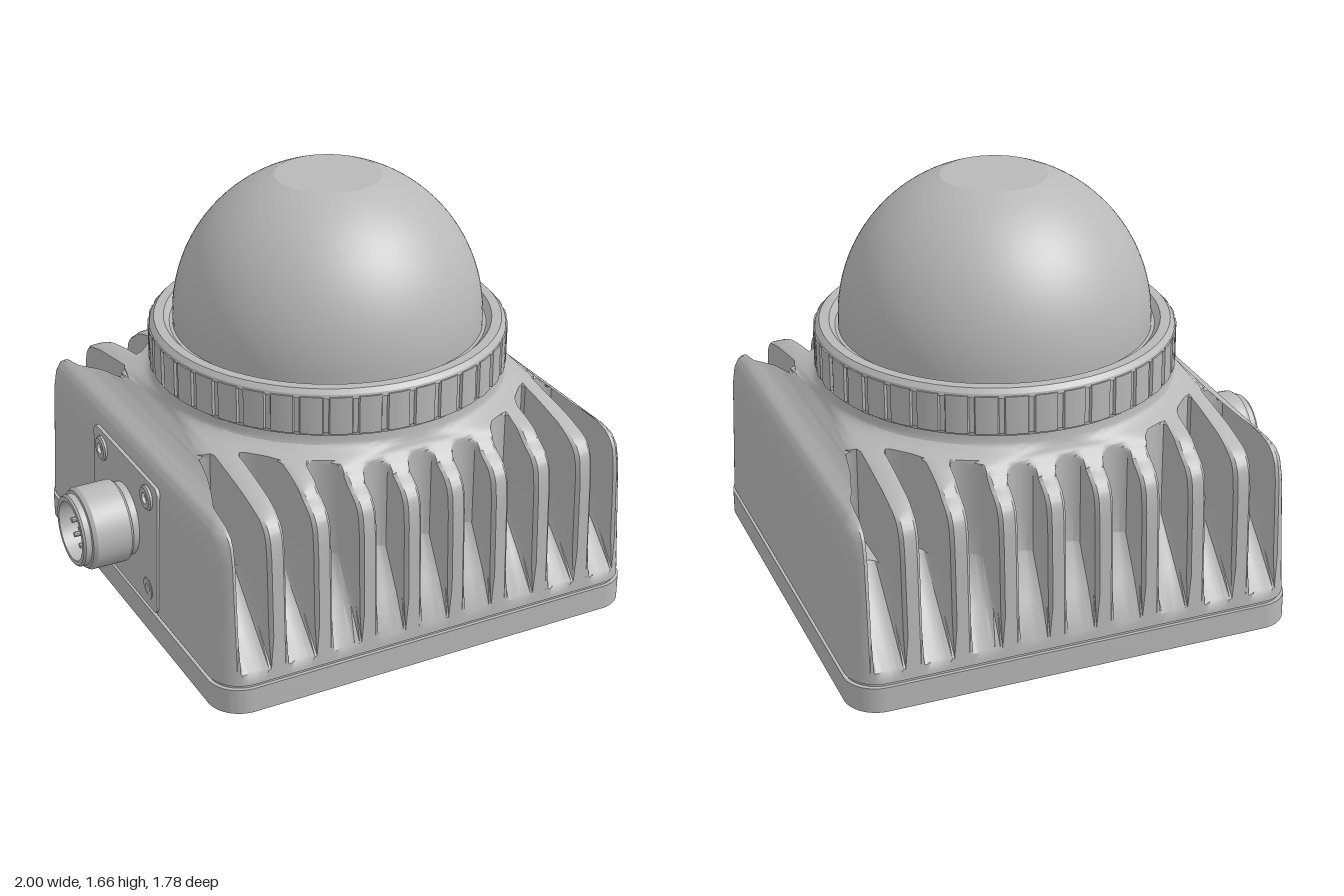
import * as THREE from 'three';
import { toCreasedNormals } from 'three/addons/utils/BufferGeometryUtils.js';

const grey = new THREE.MeshStandardMaterial({ color: 0xb8b8b8 });
grey.name = 'cast grey';

function part(name, geometry, parent, crease = 0.55) {
  const mesh = new THREE.Mesh(toCreasedNormals(geometry, crease), grey);
  mesh.name = name;
  parent.add(mesh);
  return mesh;
}

// Piecewise linear lookup in [[y, value], ...]
function lookup(table, y) {
  for (let i = 1; i < table.length; i++) {
    const [y0, a] = table[i - 1], [y1, b] = table[i];
    if (y <= y1) return a + (b - a) * Math.max(0, (y - y0) / (y1 - y0));
  }
  return table[table.length - 1][1];
}

// Skin between closed rings of equal point count
function loft(rings) {
  const n = rings[0].length, index = [];
  const pts = rings.flat();
  const add = (a, b, c) => {
    const u = pts[b].clone().sub(pts[a]), v = pts[c].clone().sub(pts[a]);
    if (u.cross(v).length() > 1e-8) index.push(a, b, c);
  };
  for (let i = 0; i < rings.length - 1; i++) {
    for (let j = 0; j < n; j++) {
      const a = i * n + j, b = i * n + (j + 1) % n;
      add(a, b, b + n);
      add(a, b + n, a + n);
    }
  }
  const g = new THREE.BufferGeometry().setFromPoints(pts);
  g.setIndex(index);
  return g;
}

// Housing: half width and corner radius by height, rounded square turning into a circle
const halfWidth = [[0.115, 0.885], [0.6, 0.868], [0.67, 0.86], [0.7, 0.85], [0.725, 0.832], [0.745, 0.805],
  [0.76, 0.78], [0.79, 0.745], [0.83, 0.712], [0.86, 0.7], [0.9, 0.692]];
const cornerRadius = [[0.115, 0.13], [0.74, 0.13], [0.78, 0.25], [0.82, 0.45], [0.85, 0.64], [0.87, 0.7]];
const slotPitch = 0.187, slotHalf = 0.058;

// Depth of the cooling slots: sloping floor, then a wall that follows the round neck
function slotFloor(x, y) {
  const wall = Math.max(0.385, Math.min(0.72, Math.sqrt(Math.max(0, 0.76 ** 2 - x * x))));
  if (y > 0.451) return wall;
  return lookup([[0.13, 0.9], [0.451, Math.max(wall, 0.57)]], y);
}

function housingRing(y) {
  const H = lookup(halfWidth, y), c = Math.min(H, lookup(cornerRadius, y)), k = H - c;
  const outer = (x) => {
    const ax = Math.min(Math.abs(x), H);
    return ax <= k ? H : k + Math.sqrt(Math.max(0, c * c - (ax - k) ** 2));
  };
  const front = [];
  const put = (x, z) => front.push(new THREE.Vector3(Math.max(-H, Math.min(H, x)), y, z));
  const start = Math.acos(Math.max(0, Math.min(1, (Math.min(0.83, H) - k) / c)));
  const steps = 8;
  for (let i = 0; i <= steps; i++) {
    const a = start * i / steps;
    put(-k - c * Math.cos(a), k + c * Math.sin(a));
  }
  for (let s = -4; s <= 4; s++) {
    const mid = s * slotPitch;
    const inner = (o, r) => slotFloor(mid + o * slotHalf, y) + r;
    const lip = (o) => {
      const x = mid + o * slotHalf, Z = outer(x);
      put(x, Math.min(Z, Math.max(Z - 0.014, inner(o, 0.04))));
    };
    put(mid - slotHalf * 1.22, outer(mid - slotHalf * 1.22));
    lip(-1);
    for (const [o, r] of [[-1, 0.04], [-0.85, 0.016], [-0.5, 0.002], [0, 0], [0.5, 0.002], [0.85, 0.016], [1, 0.04]]) {
      const x = mid + o * slotHalf;
      put(x, Math.min(outer(x), inner(o, r)));
    }
    lip(1);
    put(mid + slotHalf * 1.22, outer(mid + slotHalf * 1.22));
    if (s < 4) put(mid + slotPitch / 2, outer(mid + slotPitch / 2));
  }
  for (let i = steps; i >= 0; i--) {
    const a = start * i / steps;
    put(k + c * Math.cos(a), k + c * Math.sin(a));
  }
  return front.concat(front.map((p) => new THREE.Vector3(-p.x, y, -p.z)));
}

function roundedSquare(w, h, r) {
  const s = new THREE.Shape();
  s.absarc(w - r, h - r, r, 0, Math.PI / 2);
  s.absarc(r - w, h - r, r, Math.PI / 2, Math.PI);
  s.absarc(r - w, r - h, r, Math.PI, Math.PI * 1.5);
  s.absarc(w - r, r - h, r, Math.PI * 1.5, Math.PI * 2);
  return s;
}

// Plate lying flat, from height y0 to y1
function flatPlate(shape, y0, y1) {
  const g = new THREE.ExtrudeGeometry(shape, { depth: y1 - y0, bevelEnabled: false, curveSegments: 12 });
  return g.rotateX(-Math.PI / 2).translate(0, y0, 0);
}

const lathe = (points, segments = 72) =>
  new THREE.LatheGeometry(points.map(([r, y]) => new THREE.Vector2(r, y)), segments);

function hole(x, y, r, stretch = 0) {
  const p = new THREE.Path();
  p.absarc(x, y + stretch, r, 0, Math.PI);
  p.absarc(x, y - stretch, r, Math.PI, Math.PI * 2);
  p.closePath();
  return p;
}

export function createModel() {
  const model = new THREE.Group();
  model.name = 'domeUnit';
  const unit = new THREE.Group();
  unit.name = 'unit';
  unit.position.x = 0.11;
  model.add(unit);

  // Finned housing
  const levels = [0.115, 0.13, 0.16, 0.29, 0.45, 0.452, 0.6, 0.67, 0.685];
  for (let y = 0.7; y < 0.901; y += 0.008) levels.push(y);
  levels.push(0.905);
  part('housing', loft(levels.map(housingRing)), unit);

  // Base plate with mounting holes and corner screws
  const bottom = roundedSquare(0.89, 0.89, 0.13);
  for (const sx of [-1, 1]) for (const sz of [-1, 1]) {
    bottom.holes.push(hole(sx * 0.65, sz * 0.52, 0.034), hole(sx * 0.79, sz * 0.79, 0.07));
    const screw = new THREE.Group();
    screw.name = 'baseScrew';
    screw.position.set(sx * 0.79, 0, sz * 0.79);
    unit.add(screw);
    part('screwHead', lathe([[0, 0.022], [0.026, 0.022], [0.026, 0.006], [0.05, 0.006], [0.058, 0.03]], 24), screw);
  }
  bottom.holes.push(hole(0, -0.47, 0.034), hole(0, 0.65, 0.034, 0.025));
  part('baseUnderside', flatPlate(bottom, 0, 0.03), unit);
  part('basePlate', flatPlate(roundedSquare(0.89, 0.89, 0.13), 0.03, 0.102), unit);
  part('baseSeal', flatPlate(roundedSquare(0.876, 0.876, 0.12), 0.1, 0.12), unit);

  // Clamping ring with grip notches
  const grip = new THREE.Shape();
  const notches = 40;
  for (let i = 0; i < notches; i++) {
    for (const [f, r] of [[0, 0.7], [0.25, 0.702], [0.5, 0.702], [0.75, 0.7], [0.79, 0.69], [0.96, 0.69]]) {
      const a = (i + f) / notches * Math.PI * 2;
      if (i + f === 0) grip.moveTo(r, 0);
      else grip.lineTo(r * Math.cos(a), r * Math.sin(a));
    }
  }
  grip.closePath();
  grip.holes.push(hole(0, 0, 0.6));
  part('clampRing', flatPlate(grip, 0.912, 1.062), unit, 0.3);
  part('clampRingTop', lathe([[0.698, 1.055], [0.694, 1.07], [0.678, 1.087], [0.64, 1.087], [0.618, 1.062], [0.604, 1.05]]), unit, 0.4);
  part('neckGroove', lathe([[0.68, 0.895], [0.685, 0.915]]), unit);

  // Dome with a flat top
  const dome = [[0.605, 1.02]];
  const end = Math.acos(0.205 / 0.605);
  for (let i = 0; i <= 24; i++) {
    const a = end * i / 24;
    dome.push([0.605 * Math.cos(a), 1.09 + 0.605 * Math.sin(a)]);
  }
  dome.push([0, 1.09 + 0.605 * Math.sin(end)]);
  part('dome', lathe(dome, 96), unit, 0.3);

  // Side connector, its flange, screws and pins; local y points outwards
  const connector = new THREE.Group();
  connector.name = 'connector';
  connector.position.set(-0.876, 0.39, 0);
  connector.rotation.z = Math.PI / 2;
  unit.add(connector);
  const flange = part('flange', flatPlate(roundedSquare(0.27, 0.31, 0.03), -0.01, 0.008), connector);
  flange.rotation.z = -0.03;
  part('socket', lathe([[0.145, -0.01], [0.145, 0.034], [0.155, 0.036], [0.163, 0.046], [0.163, 0.185], [0.153, 0.2],
    [0.142, 0.202], [0.142, 0.226], [0.136, 0.234], [0.118, 0.234], [0.118, 0.12], [0, 0.12]], 40), connector);
  for (let i = 0; i < 8; i++) {
    const a = i / 8 * Math.PI * 2;
    const r = i === 7 ? 0 : 0.075;
    part('pin', new THREE.CylinderGeometry(0.011, 0.011, 0.08, 10).translate(r * Math.cos(a), 0.16, r * Math.sin(a)), connector);
  }
  for (const sy of [-1, 1]) for (const sz of [-1, 1]) {
    const head = part('flangeScrew', lathe([[0.05, -0.01], [0.05, 0.01], [0.042, 0.016], [0.022, 0.016], [0.022, 0.004], [0, 0.004]], 20), connector);
    head.position.set(sy * 0.2, 0, sz * 0.22);
  }
  return model;
}
